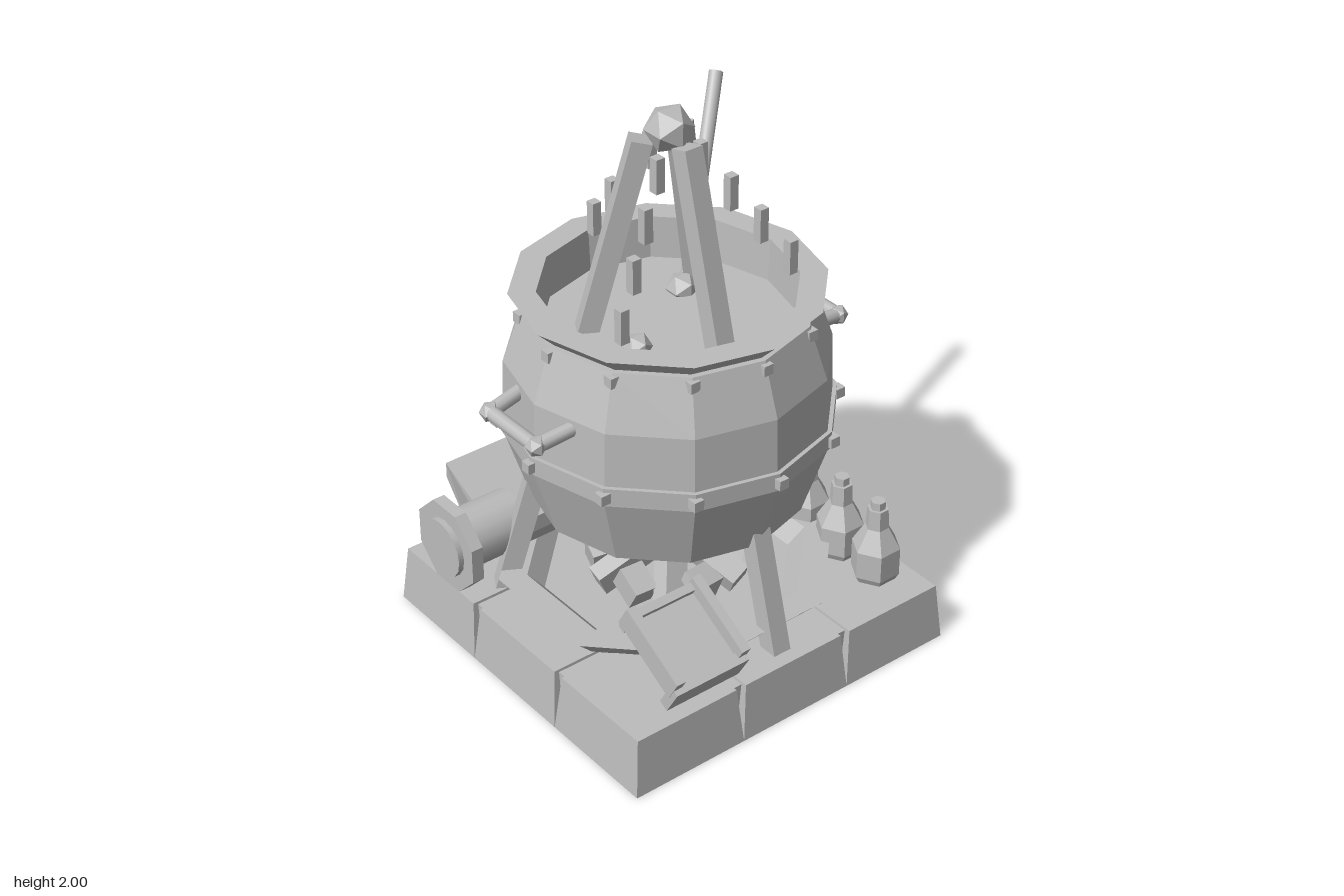
import * as THREE from 'three';

const stone = new THREE.MeshStandardMaterial({ color: 0xbcbcbc });
stone.name = 'plain grey';

// Faceted normals
function flat(geo) {
  const g = geo.index ? geo.toNonIndexed() : geo;
  g.computeVertexNormals();
  return g;
}

function add(parent, name, geo, x = 0, y = 0, z = 0) {
  const m = new THREE.Mesh(geo, stone);
  m.name = name;
  m.position.set(x, y, z);
  parent.add(m);
  return m;
}

const box = (w, h, d) => new THREE.BoxGeometry(w, h, d);
const lathe = (pts, sides, start = 0) =>
  flat(new THREE.LatheGeometry(pts.map(p => new THREE.Vector2(...p)), sides, start));

// Lays a y-aligned geometry between two points
function between(parent, name, a, b, makeGeo, yaw = 0) {
  const A = new THREE.Vector3(...a), B = new THREE.Vector3(...b);
  const dir = B.clone().sub(A);
  const m = add(parent, name, makeGeo(dir.length()));
  m.position.copy(A).add(B).multiplyScalar(0.5);
  const turn = new THREE.Quaternion().setFromAxisAngle(new THREE.Vector3(0, 1, 0), yaw);
  m.quaternion.setFromUnitVectors(new THREE.Vector3(0, 1, 0), dir.normalize()).multiply(turn);
  return m;
}

// Point on a circle, angle 0 facing +z
const polar = (r, a, y) => [r * Math.sin(a), y, r * Math.cos(a)];

function buildBase(root) {
  const g = new THREE.Group();
  g.name = 'base';
  root.add(g);
  add(g, 'baseCore', box(1.27, 0.205, 1.27), 0.008, 0.1025, 0);
  // Nine blocks, each narrowing to the top
  const xs = [-0.665, -0.215, 0.24, 0.68], zs = [-0.677, -0.235, 0.23, 0.677];
  for (let i = 0; i < 3; i++) for (let j = 0; j < 3; j++) {
    const w = xs[i + 1] - xs[i], d = zs[j + 1] - zs[j];
    const geo = box(w, 0.215, d), p = geo.attributes.position;
    for (let k = 0; k < p.count; k++) if (p.getY(k) > 0) {
      p.setX(k, p.getX(k) * (1 - 0.04 / w));
      p.setZ(k, p.getZ(k) * (1 - 0.04 / d));
    }
    add(g, 'baseBlock', flat(geo), xs[i] + w / 2, 0.1075, zs[j] + d / 2);
  }
}

function buildFire(root) {
  const g = new THREE.Group();
  g.name = 'firePit';
  root.add(g);
  add(g, 'fireRing', lathe([[0.52, 0.21], [0.6, 0.29], [0.5, 0.29], [0.44, 0.225], [0, 0.225]], 8, Math.PI / 8));
  // Leaning logs and coals
  for (let i = 0; i < 6; i++) {
    const a = i * Math.PI / 3 + 0.4;
    between(g, 'log', polar(0.28, a, 0.27), polar(0.03, a + 0.5, 0.38), l => box(0.09, l, 0.07));
    const coal = add(g, 'coal', box(0.11, 0.09, 0.09), ...polar(0.22, a + 0.5, 0.29));
    coal.rotation.set(0.3, a * 1.7, 0.2);
  }
  add(g, 'ember', new THREE.IcosahedronGeometry(0.09), 0.01, 0.42, 0);
}

function buildCauldron(root) {
  const g = new THREE.Group();
  g.name = 'cauldron';
  g.position.set(0.008, 0, -0.003);
  root.add(g);
  // Bowl, flared rim, inner wall and liquid
  add(g, 'bowl', lathe([[0, 0.496], [0.3, 0.496], [0.475, 0.586], [0.56, 0.85], [0.55, 1.12],
    [0.485, 1.31], [0.465, 1.31], [0.527, 1.372], [0.434, 1.372], [0.425, 1.22], [0, 1.22]], 12));
  add(g, 'bellyBand', lathe([[0.55, 0.862], [0.572, 0.862], [0.572, 0.925], [0.545, 0.925]], 12));
  for (let i = 0; i < 12; i++) {
    const a = i * Math.PI / 6;
    add(g, 'rimRivet', box(0.037, 0.037, 0.037), ...polar(0.485, a, 1.282));
    add(g, 'bandRivet', box(0.037, 0.037, 0.037), ...polar(0.574, a, 0.892));
  }
  // Side handles
  const rod = l => new THREE.CylinderGeometry(0.026, 0.026, l, 10);
  for (const s of [-1, 1]) {
    between(g, 'handleBar', [s * 0.635, 1.063, -0.125], [s * 0.635, 1.063, 0.125], rod);
    for (const z of [-0.125, 0.125]) {
      between(g, 'handleArm', [s * 0.635, 1.063, z], [s * 0.5, 1.083, z * 1.12], rod);
      add(g, 'handleKnob', new THREE.IcosahedronGeometry(0.037), s * 0.635, 1.063, z);
    }
  }
  // Bubbles on the liquid
  for (const [x, z, r] of [[-0.185, 0.07, 0.05], [0.045, 0.215, 0.037], [0.16, -0.13, 0.058]])
    add(g, 'bubble', new THREE.IcosahedronGeometry(r), x, 1.23, z);
  // Three legs below, three poles above, three hanging chains
  for (let i = 0; i < 3; i++) {
    const a = i * Math.PI * 2 / 3, b = a + Math.PI / 3;
    between(g, 'leg', polar(0.575, a, 0.2), polar(0.455, a, 0.64), l => box(0.07, l, 0.07), a);
    between(g, 'tripodPole', polar(0.28, a, 1.18), polar(0.09, a, 1.9), l => box(0.07, l, 0.07), a);
    for (let k = 0; k < 4; k++)
      add(g, 'chainLink', box(0.034, 0.122, 0.034), ...polar(0.1 * (k + 1), b, 1.815 - 0.127 * k));
  }
  add(g, 'finial', new THREE.IcosahedronGeometry(0.083), 0, 1.93, 0);
}

function buildBottles(root) {
  const profile = [[0, 0.205], [0.068, 0.205], [0.087, 0.24], [0.087, 0.345], [0.042, 0.425],
    [0.038, 0.5], [0.027, 0.5], [0.027, 0.53], [0, 0.53]];
  for (const z of [0.475, 0.29, 0.11])
    add(root, 'bottle', lathe(profile, 6, Math.PI / 6), 0.54, 0, z);
}

function buildBellows(root) {
  const g = new THREE.Group();
  g.name = 'bellows';
  root.add(g);
  // Horizontal barrel with an eight-sided flange
  const barrel = add(g, 'barrel', new THREE.CylinderGeometry(0.108, 0.108, 0.29, 16), -0.545, 0.405, -0.37);
  barrel.rotation.z = Math.PI / 2;
  const flange = add(g, 'flange', flat(new THREE.CylinderGeometry(0.17, 0.17, 0.045, 8, 1, false, Math.PI / 8)), -0.647, 0.405, -0.37);
  flange.rotation.z = Math.PI / 2;
  // Sloped hopper, narrower at the foot
  const side = new THREE.Shape([[-0.59, 0.56], [-0.59, 0.5], [-0.54, 0.3], [-0.33, 0.3], [-0.3, 0.36], [-0.3, 0.42]]
    .map(p => new THREE.Vector2(...p)));
  const geo = new THREE.ExtrudeGeometry(side, { depth: 0.31, bevelEnabled: false });
  geo.translate(0, 0, -0.155).rotateY(-Math.PI / 2);
  const p = geo.attributes.position;
  for (let k = 0; k < p.count; k++) if (p.getY(k) < 0.33) p.setX(k, p.getX(k) * 0.72);
  add(g, 'hopper', flat(geo), -0.355, 0, 0);
}

function buildTray(root) {
  // Tilted open tray with a lip at its low end
  const g = new THREE.Group();
  g.name = 'tray';
  g.position.set(-0.355, 0.4, 0.53);
  g.rotation.x = 0.52;
  root.add(g);
  add(g, 'trayBoard', box(0.29, 0.04, 0.28));
  for (const s of [-1, 1]) add(g, 'traySide', box(0.035, 0.09, 0.3), s * 0.135, 0.025, -0.01);
  add(g, 'trayLip', box(0.3, 0.11, 0.04), 0, -0.025, 0.14);
  add(g, 'trayBack', box(0.29, 0.09, 0.03), 0, 0.0, -0.14);
}

export function createModel() {
  const root = new THREE.Group();
  root.name = 'cauldronOnHearth';
  buildBase(root);
  buildFire(root);
  buildCauldron(root);
  buildBottles(root);
  buildBellows(root);
  buildTray(root);
  // Stirring stick
  between(root, 'stirringStick', [0.2, 1.17, -0.16], [0.56, 1.79, -0.44],
    l => new THREE.CylinderGeometry(0.025, 0.025, l, 6));
  return root;
}
